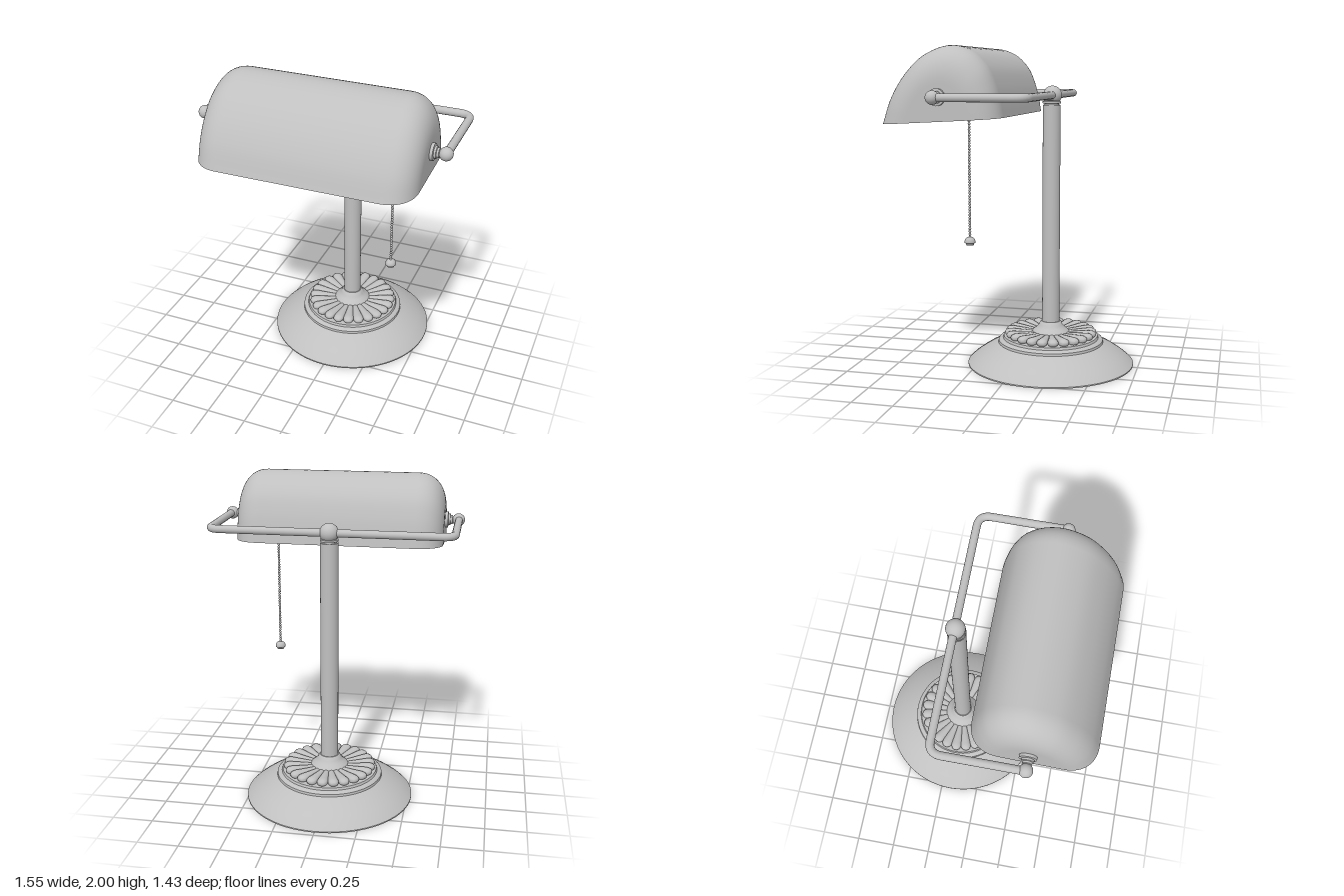
import * as THREE from 'three';
import { toCreasedNormals } from 'three/addons/utils/BufferGeometryUtils.js';

const grey = new THREE.MeshStandardMaterial({ color: 0xc0c0c0 });
grey.name = 'satin grey';
const greyThin = new THREE.MeshStandardMaterial({ color: 0xc0c0c0, side: THREE.DoubleSide });
greyThin.name = 'satin grey shell';

const POST_Z = -0.19, PIVOT_Y = 1.705, PIVOT_Z = 0.335;

function add(parent, name, geometry, x = 0, y = 0, z = 0, material = grey) {
  const mesh = new THREE.Mesh(geometry, material);
  mesh.name = name;
  mesh.position.set(x, y, z);
  parent.add(mesh);
  return mesh;
}

// Turned part from [radius, height] pairs, listed bottom to top
function turned(points, segments = 48) {
  const profile = points.map(([r, y]) => new THREE.Vector2(r, y));
  return toCreasedNormals(new THREE.LatheGeometry(profile, segments), 0.6);
}

// Shade: one curved section, shrunk towards both ends along a quarter ellipse
function shadeGeometry() {
  const section = new THREE.CatmullRomCurve3([
    [0.715, 1.545], [0.665, 1.69], [0.58, 1.83], [0.46, 1.945], [0.3, 2.0],
    [0.17, 1.965], [0.08, 1.88], [0.03, 1.77], [0.003, 1.66], [-0.01, 1.585],
  ].map(([z, y]) => new THREE.Vector3(0, y, z))).getPoints(48);
  const centre = { y: 1.565, z: 0.3525 };
  const half = [[0.655, 0]];
  for (let i = 0; i <= 14; i++) {
    const t = (i / 14) * Math.PI / 2;
    half.push([0.48 + 0.175 * Math.pow(Math.cos(t), 0.9), 0.5 + 0.5 * Math.pow(Math.sin(t), 0.9)]);
  }
  const rows = [...half.map(([x, s]) => [-x, s]), ...half.slice().reverse()];
  const positions = [], index = [], n = section.length;
  rows.forEach(([x, s], i) => {
    section.forEach((p, j) => {
      positions.push(x, centre.y + (p.y - centre.y) * s, centre.z + (p.z - centre.z) * s);
      if (i < rows.length - 1 && j < n - 1) {
        const a = i * n + j, b = a + n;
        index.push(a, b, a + 1, b, b + 1, a + 1);
      }
    });
  });
  const geometry = new THREE.BufferGeometry();
  geometry.setAttribute('position', new THREE.Float32BufferAttribute(positions, 3));
  geometry.setIndex(index);
  geometry.computeVertexNormals();
  return geometry;
}

// Yoke: bar with two rounded corners reaching forward to the pivots
function yokeGeometry() {
  const v = (x, z) => new THREE.Vector3(x, PIVOT_Y, z);
  const X = 0.74, B = POST_Z - 0.01, R = 0.075;
  const path = new THREE.CurvePath();
  path.add(new THREE.LineCurve3(v(-X, PIVOT_Z), v(-X, B + R)));
  path.add(new THREE.QuadraticBezierCurve3(v(-X, B + R), v(-X, B), v(-X + R, B)));
  path.add(new THREE.LineCurve3(v(-X + R, B), v(X - R, B)));
  path.add(new THREE.QuadraticBezierCurve3(v(X - R, B), v(X, B), v(X, B + R)));
  path.add(new THREE.LineCurve3(v(X, B + R), v(X, PIVOT_Z)));
  return new THREE.TubeGeometry(path, 200, 0.024, 16);
}

export function createModel() {
  const lamp = new THREE.Group();
  lamp.name = 'deskLamp';

  // Base with a ring of petals
  const base = new THREE.Group();
  base.name = 'base';
  base.position.z = POST_Z;
  lamp.add(base);
  add(base, 'foot', turned([
    [0, 0], [0.528, 0], [0.528, 0.008], [0.5, 0.035], [0.46, 0.065], [0.41, 0.098], [0.36, 0.125],
    [0.335, 0.137], [0.333, 0.152], [0.322, 0.162], [0.305, 0.165], [0.3, 0.18], [0, 0.18],
  ], 72));
  const petal = turned([
    [0, 0.09], [0.013, 0.095], [0.018, 0.13], [0.026, 0.19], [0.034, 0.245],
    [0.034, 0.262], [0.029, 0.277], [0.018, 0.288], [0, 0.293],
  ], 14);
  petal.rotateX(Math.PI / 2);
  petal.scale(1, 0.7, 1);
  const petals = new THREE.Group();
  petals.name = 'petals';
  base.add(petals);
  for (let i = 0; i < 24; i++) {
    add(petals, 'petal', petal, 0, 0.197, 0).rotation.y = (i / 24) * Math.PI * 2;
  }
  add(base, 'postCollar', turned([
    [0.118, 0.18], [0.118, 0.205], [0.108, 0.217], [0.09, 0.23], [0.075, 0.248],
    [0.068, 0.265], [0.06, 0.272], [0, 0.272],
  ]));

  // Post, neck rings and top ball
  add(lamp, 'post', new THREE.CylinderGeometry(0.055, 0.055, 1.38, 40), 0, 0.955, POST_Z);
  add(lamp, 'postNeck', turned([
    [0.046, 1.64], [0.046, 1.652], [0.056, 1.655], [0.056, 1.667], [0.047, 1.67],
    [0.053, 1.675], [0.053, 1.684], [0.04, 1.69], [0, 1.69],
  ]), 0, 0, POST_Z);
  add(lamp, 'postBall', new THREE.SphereGeometry(0.058, 32, 20), 0, PIVOT_Y, POST_Z - 0.005);

  add(lamp, 'yoke', yokeGeometry());
  add(lamp, 'shade', shadeGeometry(), 0, 0, 0, greyThin);

  // Pivots at both ends of the shade
  const pivot = turned([
    [0, -0.075], [0.016, -0.072], [0.026, -0.058], [0.026, -0.042], [0.016, -0.03], [0.016, -0.018],
    [0.044, -0.018], [0.044, -0.002], [0.05, 0], [0.05, 0.02], [0.036, 0.022], [0.036, 0.034],
    [0.028, 0.036], [0.028, 0.048], [0.02, 0.05], [0.02, 0.085], [0, 0.085],
  ], 28);
  for (const side of [1, -1]) {
    add(lamp, 'pivot', pivot, side * 0.652, PIVOT_Y, PIVOT_Z).rotation.z = -side * Math.PI / 2;
    add(lamp, 'pivotBall', new THREE.SphereGeometry(0.04, 24, 16), side * 0.737, PIVOT_Y, PIVOT_Z);
  }

  // Socket and bulb lying along the shade
  const socket = add(lamp, 'socket', turned([
    [0, -0.65], [0.022, -0.65], [0.022, -0.48], [0.045, -0.465], [0.064, -0.43], [0.068, -0.39],
    [0.064, -0.34], [0.05, -0.29], [0.062, -0.285], [0.062, -0.1], [0, -0.1],
  ], 32), 0, PIVOT_Y, PIVOT_Z);
  socket.rotation.z = Math.PI / 2;
  const bulb = add(lamp, 'bulb', turned([
    [0.05, -0.11], [0.056, -0.08], [0.075, -0.035], [0.108, 0.01], [0.138, 0.05], [0.154, 0.1],
    [0.152, 0.14], [0.136, 0.185], [0.105, 0.222], [0.06, 0.246], [0.03, 0.252], [0, 0.254],
  ], 40), 0, PIVOT_Y - 0.003, PIVOT_Z);
  bulb.rotation.z = Math.PI / 2;

  // Pull chain with its switch arm and end knob
  const chain = new THREE.Group();
  chain.name = 'pullChain';
  chain.position.set(0.405, 0, 0.222);
  lamp.add(chain);
  const arm = add(chain, 'switchArm', new THREE.CylinderGeometry(0.016, 0.016, 0.11, 16), 0, PIVOT_Y, 0.055);
  arm.rotation.x = Math.PI / 2;
  add(chain, 'switchTip', new THREE.SphereGeometry(0.024, 16, 12), 0, PIVOT_Y, 0);
  const bead = new THREE.SphereGeometry(0.0085, 8, 6);
  for (let y = 0.868; y < 1.69; y += 0.0165) add(chain, 'bead', bead, 0, y, 0);
  add(chain, 'chainCore', new THREE.CylinderGeometry(0.003, 0.003, 0.83, 6), 0, 1.28, 0);
  add(chain, 'chainKnob', turned([
    [0, 0.818], [0.022, 0.818], [0.025, 0.828], [0.032, 0.832], [0.033, 0.842],
    [0.028, 0.856], [0.016, 0.866], [0, 0.868],
  ], 24));

  return lamp;
}
